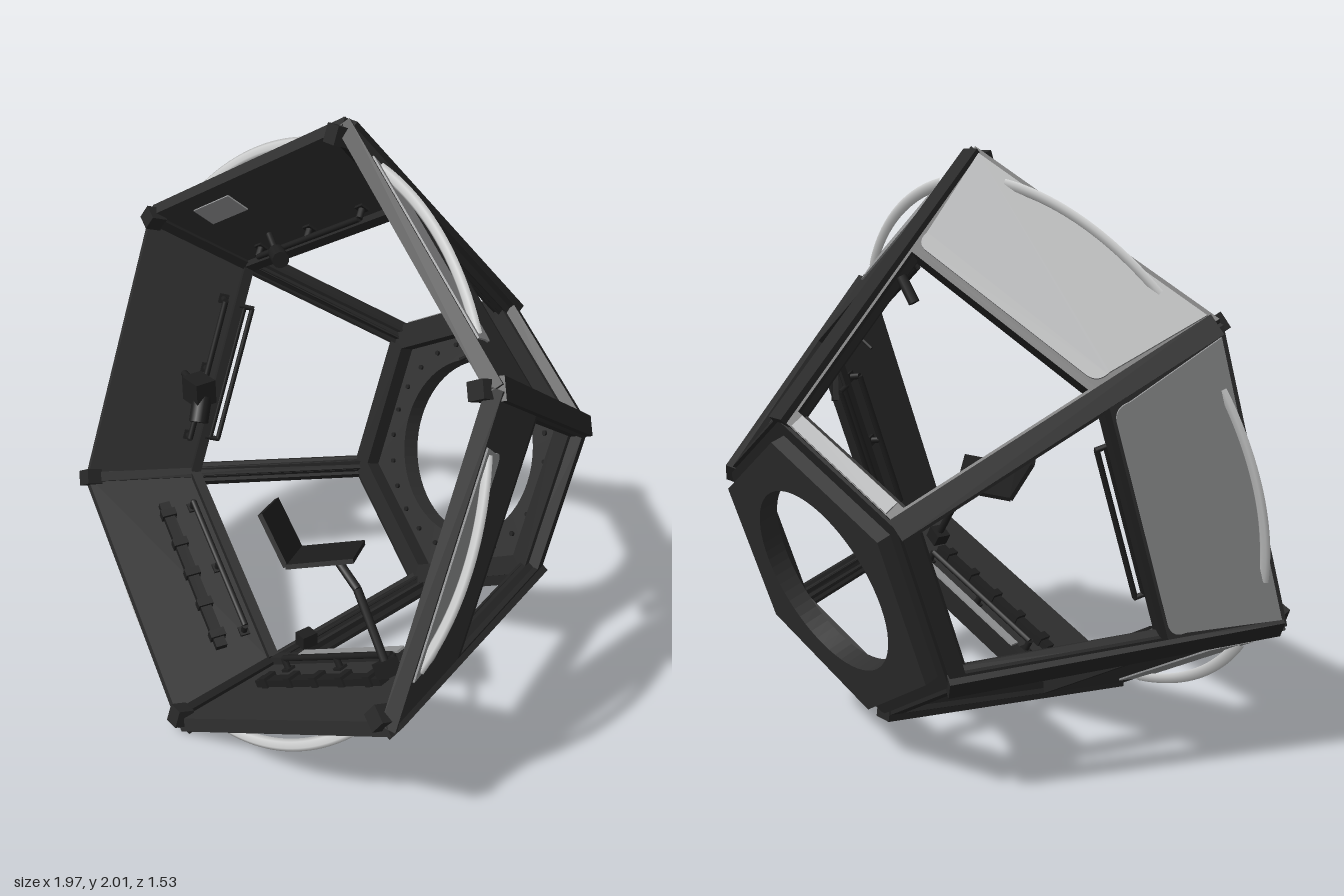
import * as THREE from 'three';

const mat = (name, color, side = THREE.FrontSide) => {
  const m = new THREE.MeshStandardMaterial({ color, side });
  m.name = name;
  return m;
};
const V = (x, y, z) => new THREE.Vector3(x, y, z);

export function createModel() {
  const panelMat = mat('charcoal', 0x303030);
  const frameMat = mat('frame black', 0x262626);
  const gearMat = mat('equipment black', 0x1e1e1e);
  const shieldMat = mat('shield grey', 0x929394);
  const hoopMat = mat('pale grey', 0xcfd0d0);

  const root = new THREE.Group();
  root.name = 'windowedDome';
  // Tilted frame: local z runs from the small rear ring to the wide open front
  const dome = new THREE.Group();
  dome.name = 'dome';
  dome.position.set(0, 1.0, 0.38);
  dome.rotation.x = -0.345;
  root.add(dome);

  const add = (parent, geo, m, name) => {
    const mesh = new THREE.Mesh(geo, m);
    mesh.name = name;
    parent.add(mesh);
    return mesh;
  };
  const box = (parent, name, m, size, pos, rot = [0, 0, 0]) => {
    const b = add(parent, new THREE.BoxGeometry(...size), m, name);
    b.position.set(...pos);
    b.rotation.set(...rot);
    return b;
  };
  const rod = (parent, name, m, a, b, r) => {
    const d = b.clone().sub(a);
    const c = add(parent, new THREE.CylinderGeometry(r, r, d.length(), 10), m, name);
    c.position.copy(a).addScaledVector(d, 0.5);
    c.quaternion.setFromUnitVectors(V(0, 1, 0), d.normalize());
    return c;
  };
  const poly = (pts) => pts.map((p) => new THREE.Vector2(...p));
  const extrude = (shape, depth, curveSegments = 12) =>
    new THREE.ExtrudeGeometry(shape, { depth, bevelEnabled: false, curveSegments });

  // Sloping faces: s runs down the slope from front to rear, t runs across
  const FRONT = 0.927, REAR = 0.49, DEPTH = 0.98;
  const LEN = Math.hypot(FRONT - REAR, DEPTH);
  const half = (s) => (FRONT - (FRONT - REAR) * s / LEN) / Math.sqrt(3);
  const trapezoid = (s0, s1, inset) => poly([
    [s0, -half(s0) + inset], [s1, -half(s1) + inset], [s1, half(s1) - inset], [s0, half(s0) - inset],
  ]);
  const rounded = (s0, s1, h0, h1, r) => {
    const s = new THREE.Shape();
    s.moveTo(s0, -h0);
    s.lineTo(s1 - r, -h1);
    s.quadraticCurveTo(s1, -h1, s1, -h1 + r);
    s.lineTo(s1, h1 - r);
    s.quadraticCurveTo(s1, h1, s1 - r, h1);
    s.lineTo(s0, h0);
    return s;
  };
  const SEAM = 0.39;
  const S = V((REAR - FRONT) / LEN, 0, -DEPTH / LEN);
  const basis = new THREE.Matrix4().makeBasis(S, V(0, 1, 0), S.clone().cross(V(0, 1, 0)));
  basis.setPosition(FRONT, 0, 0);

  for (let k = 0; k < 6; k++) {
    const sector = new THREE.Group();
    sector.name = 'sector' + (k + 1);
    sector.rotation.z = k * Math.PI / 3;
    dome.add(sector);
    const face = new THREE.Group();
    face.name = 'slopingFace';
    basis.decompose(face.position, face.quaternion, face.scale);
    sector.add(face);

    // Solid front panel
    add(face, extrude(new THREE.Shape(trapezoid(0, SEAM, 0.012)), 0.05), panelMat, 'panel').position.z = -0.05;

    // Window frame around an open pane
    const frame = new THREE.Shape(trapezoid(SEAM, LEN, 0.008));
    frame.holes.push(new THREE.Path(trapezoid(SEAM + 0.02, LEN - 0.05, 0.05)));
    add(face, extrude(frame, 0.065), frameMat, 'windowFrame').position.z = -0.065;
    box(face, 'seamBar', frameMat, [0.035, half(SEAM) * 2 - 0.08, 0.03], [SEAM, 0, -0.062]);

    // Grey shield sheet: covers two whole panels, a front patch on the others
    const whole = k === 2 || k === 3;
    const sheet = whole ? rounded(0.015, SEAM - 0.01, 0.49, 0.40, 0.05) : rounded(0.01, 0.145, 0.36, 0.33, 0.05);
    add(face, extrude(sheet, 0.006), shieldMat, 'shieldSheet');

    // Hoop segment standing proud of the panel
    const arc = 0.7;
    const hoop = add(sector, new THREE.TorusGeometry(0.965, 0.02, 6, 24, arc), hoopMat, 'hoopSegment');
    hoop.rotation.z = -arc / 2;
    hoop.scale.z = 0.5;
    hoop.position.z = -0.04;

    // Inner handrail with posts
    const railS = 0.33, reach = 0.27;
    rod(face, 'handrail', gearMat, V(railS, -reach, -0.095), V(railS, reach, -0.095), 0.011);
    for (const t of [-reach, 0, reach]) {
      rod(face, 'railPost', gearMat, V(railS, t, -0.045), V(railS, t, -0.095), 0.012);
      box(face, 'railFoot', gearMat, [0.035, 0.035, 0.012], [railS, t, -0.053]);
    }
    // Side windows carry a second rail loop
    if (k % 3 === 0) {
      for (const s of [SEAM + 0.05, SEAM + 0.02])
        rod(face, 'windowRail', gearMat, V(s, -0.26, -0.07), V(s, 0.26, -0.07), 0.009);
      for (const t of [-0.26, 0.26])
        rod(face, 'windowRailEnd', gearMat, V(SEAM, t, -0.07), V(SEAM + 0.055, t, -0.07), 0.009);
    }
    // Lower faces carry cable trays and clamps
    if (k >= 4) {
      box(face, 'cableTray', gearMat, [0.04, 0.62, 0.025], [0.23, 0, -0.062]);
      for (let i = -2; i <= 2; i++) box(face, 'cableClamp', gearMat, [0.055, 0.03, 0.04], [0.23, i * 0.13, -0.065]);
    }
    if (k === 5) box(face, 'sillStrip', shieldMat, [0.035, 0.5, 0.008], [SEAM, 0, -0.081]);
    if (k === 2) {
      box(face, 'innerPatch', shieldMat, [0.09, 0.2, 0.006], [0.10, 0.22, -0.052]);
      box(face, 'rearPatch', shieldMat, [0.045, 0.44, 0.006], [LEN - 0.026, 0, 0.002]);
    }

    // Corner beam along the edge between faces
    const corner = new THREE.Group();
    corner.name = 'corner';
    corner.rotation.z = Math.PI / 6;
    sector.add(corner);
    const dx = 0.565 - 1.062, edge = Math.hypot(dx, DEPTH);
    box(corner, 'cornerBeam', frameMat, [0.065, 0.07, edge],
      [(0.565 + 1.062) / 2 - 0.03, 0, -DEPTH / 2], [0, Math.atan2(-dx, DEPTH), 0]);
    box(corner, 'cornerRidge', gearMat, [0.02, 0.035, edge * 0.95],
      [(0.565 + 1.062) / 2 - 0.064, 0, -DEPTH / 2 + 0.012], [0, Math.atan2(-dx, DEPTH), 0]);
    box(corner, 'cornerLatch', frameMat, [0.06, 0.055, 0.06], [1.005, 0, 0.015]);
  }

  // Rear ring and flange plate with the round opening
  const hexagon = (r) => poly([...Array(6).keys()].map((i) => {
    const a = Math.PI / 6 + i * Math.PI / 3;
    return [r * Math.cos(a), r * Math.sin(a)];
  }));
  const ring = new THREE.Shape(hexagon(0.55));
  ring.holes.push(new THREE.Path(hexagon(0.475)));
  add(dome, extrude(ring, 0.08), frameMat, 'rearRing').position.z = -0.985;
  const plate = new THREE.Shape(hexagon(0.5));
  plate.holes.push(new THREE.Path().absarc(0, 0, 0.325, 0, Math.PI * 2, true));
  add(dome, extrude(plate, 0.07, 32), panelMat, 'rearPlate').position.z = -1.033;
  for (let i = 0; i < 24; i++) {
    const a = i * Math.PI / 12;
    const bolt = add(dome, new THREE.CylinderGeometry(0.009, 0.009, 0.012, 8), gearMat, 'bolt');
    bolt.rotation.x = Math.PI / 2;
    bolt.position.set(0.385 * Math.cos(a), 0.385 * Math.sin(a), -0.96);
  }

  // Open laptop: two slabs sharing a hinge, each given by a corner and two edges
  const slab = (name, o, u, v) => {
    const n = u.clone().cross(v).normalize();
    const w = n.clone().cross(u).normalize();
    const m = add(root, new THREE.BoxGeometry(u.length(), v.length(), 0.015), gearMat, name);
    m.quaternion.setFromRotationMatrix(new THREE.Matrix4().makeBasis(u.clone().normalize(), w, n));
    m.position.copy(o).addScaledVector(u, 0.5).addScaledVector(v, 0.5);
  };
  const hinge = V(0.24, 0.72, 0.39), along = V(0.16, 0.08, 0.17);
  slab('laptopScreen', hinge, along, V(-0.09, 0.15, 0.03));
  slab('laptopBase', hinge, along, V(0.15, 0.04, -0.14));
  // Support arm
  rod(root, 'armUpper', gearMat, V(0.42, 0.78, 0.39), V(0.52, 0.71, 0.38), 0.014);
  rod(root, 'armLower', gearMat, V(0.52, 0.71, 0.38), V(0.67, 0.5, 0.38), 0.014);
  box(root, 'armClamp', gearMat, [0.06, 0.05, 0.06], [0.67, 0.5, 0.38], [0, 0, 0.6]);

  // Camera on the side window
  box(root, 'cameraBody', gearMat, [0.1, 0.09, 0.08], [-0.61, 0.9, 0.23]);
  rod(root, 'cameraLens', gearMat, V(-0.59, 0.88, 0.23), V(-0.56, 0.80, 0.27), 0.035);
  rod(root, 'cameraMount', gearMat, V(-0.62, 0.9, 0.23), V(-0.76, 0.9, 0.2), 0.014);
  // Lamp on the upper window
  rod(root, 'lamp', gearMat, V(-0.43, 1.43, 0.0), V(-0.36, 1.43, 0.03), 0.03);
  rod(root, 'lampMount', gearMat, V(-0.41, 1.43, 0.01), V(-0.5, 1.47, -0.02), 0.012);
  // Small display and brackets
  box(root, 'smallDisplay', gearMat, [0.09, 0.12, 0.02], [0.63, 1.16, -0.12], [0, -0.5, -0.2]);
  rod(root, 'displayMount', gearMat, V(0.63, 1.2, -0.12), V(0.66, 1.28, -0.13), 0.014);
  rod(root, 'topBracket', gearMat, V(-0.08, 1.52, -0.28), V(-0.04, 1.6, -0.3), 0.018);
  rod(root, 'antenna', gearMat, V(0.42, 1.31, -0.1), V(0.52, 1.39, -0.14), 0.006);
  box(root, 'sillBox', gearMat, [0.05, 0.05, 0.06], [0.02, 0.16, 0.22]);
  return root;
}
